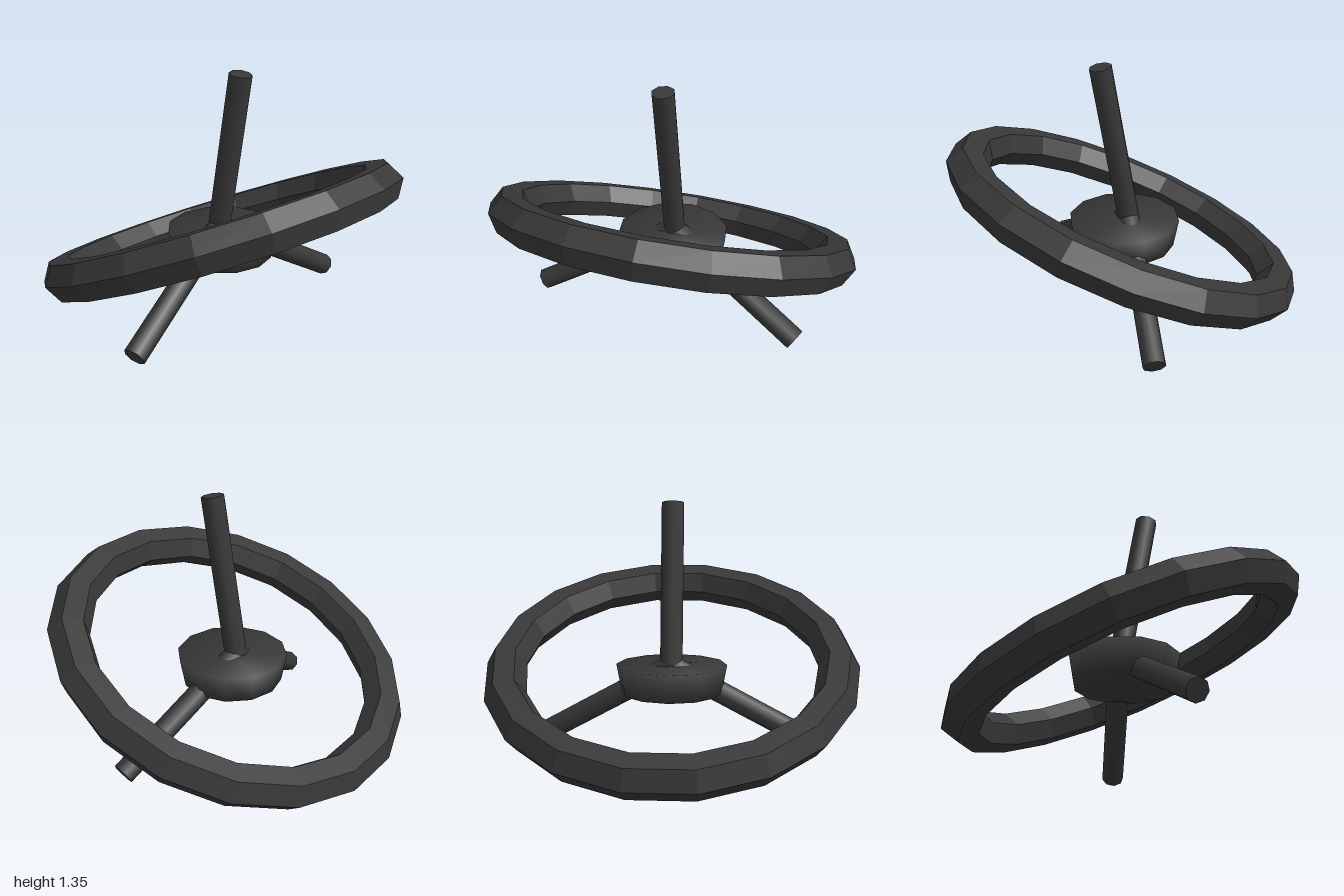
import * as THREE from 'three';

export function createModel() {
  const model = new THREE.Group();
  const charcoal = new THREE.MeshStandardMaterial({ color: 0x383838 });
  charcoal.name = 'charcoal';

  const add = (name, geometry) => {
    const mesh = new THREE.Mesh(geometry, charcoal);
    mesh.name = name;
    model.add(mesh);
    return mesh;
  };

  // Tilted rim: hexagonal section, 18 faceted segments
  const rimGeometry = new THREE.TorusGeometry(0.89, 0.11, 6, 18).toNonIndexed();
  rimGeometry.computeVertexNormals();
  const rim = add('rim', rimGeometry);
  rim.position.y = 0.485;
  rim.rotation.x = THREE.MathUtils.degToRad(66);

  // Smooth twelve-sided hub with a flat lid and shallow rounded base
  const profile = [[0, 0.298], [0.14, 0.305], [0.27, 0.335], [0.298, 0.487], [0, 0.487]]
    .map(([r, y]) => new THREE.Vector2(r, y));
  add('hub', new THREE.LatheGeometry(profile, 12));

  // Three spokes, 120 degrees apart and all leaning forward
  const length = 0.875;
  ['upperSpoke', 'rightSpoke', 'leftSpoke'].forEach((name, i) => {
    const geometry = new THREE.CylinderGeometry(0.06, 0.06, length, 8);
    geometry.translate(0, length / 2, 0);
    geometry.rotateX(THREE.MathUtils.degToRad(10));
    geometry.rotateZ((i * Math.PI * 2) / 3);
    add(name, geometry).position.set(0, 0.483, -0.025);
  });

  return model;
}
